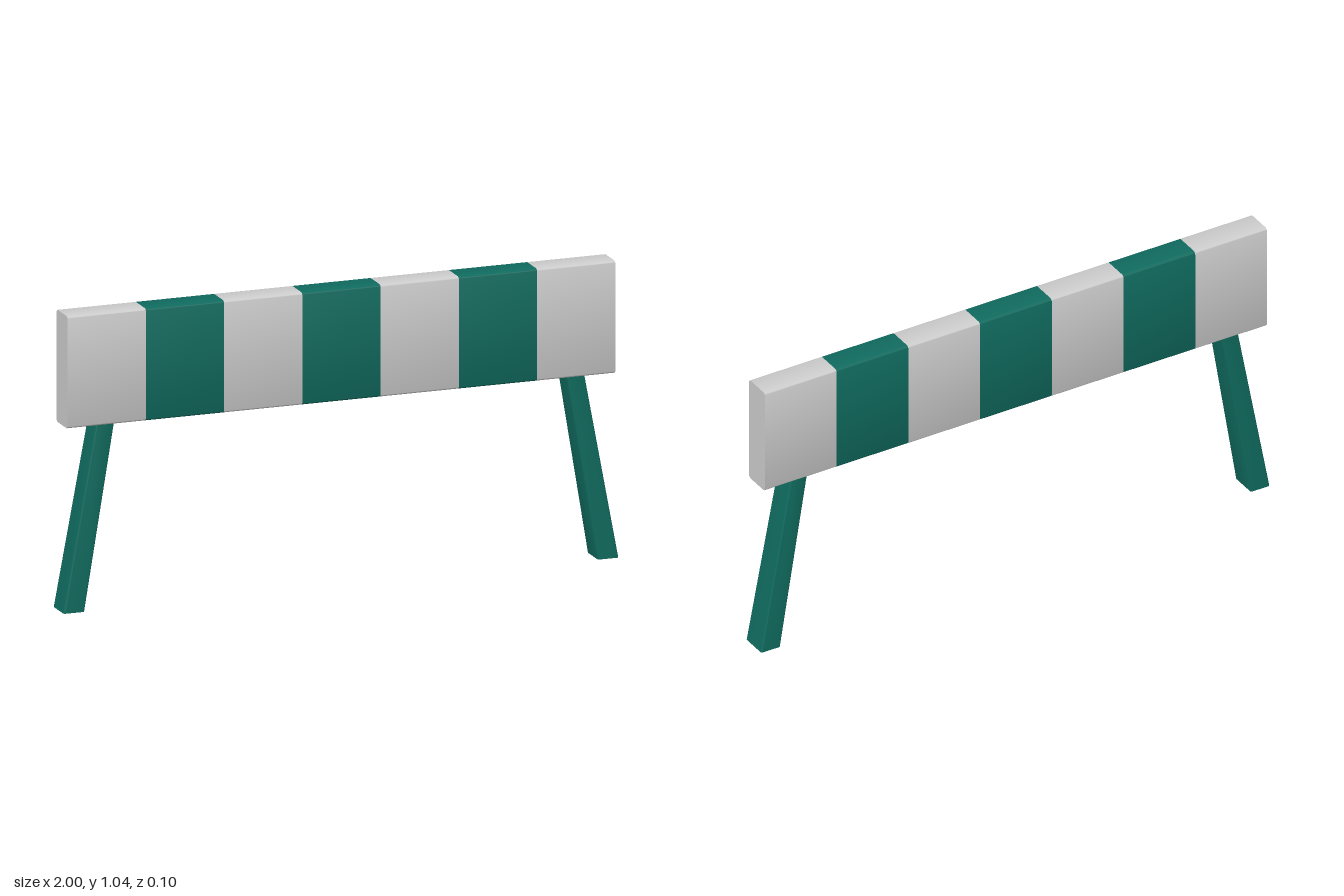
import * as THREE from 'three';
import { toCreasedNormals } from 'three/addons/utils/BufferGeometryUtils.js';

const grey = new THREE.MeshStandardMaterial({ color: 0xcccccc });
const green = new THREE.MeshStandardMaterial({ color: 0x0f6a5e });

// Rounded rectangle bar extruded along +z from 0 to length
function roundedBar(w, h, r, length) {
  const x = w / 2, y = h / 2;
  const s = new THREE.Shape();
  s.absarc(x - r, y - r, r, 0, Math.PI / 2);
  s.absarc(-x + r, y - r, r, Math.PI / 2, Math.PI);
  s.absarc(-x + r, -y + r, r, Math.PI, Math.PI * 1.5);
  s.absarc(x - r, -y + r, r, Math.PI * 1.5, Math.PI * 2);
  return new THREE.ExtrudeGeometry(s, { depth: length, bevelEnabled: false, curveSegments: 4 });
}

// Leg: splays outward and widens towards the ground
function legGeometry(side) {
  const height = 0.66;
  const geo = roundedBar(1, 1, 0.07, height);
  geo.rotateX(-Math.PI / 2);
  const p = geo.attributes.position;
  for (let i = 0; i < p.count; i++) {
    const t = p.getY(i) / 0.645;
    const centre = THREE.MathUtils.lerp(0.9625, 0.848, t);
    const width = THREE.MathUtils.lerp(0.075, 0.064, t);
    const depth = THREE.MathUtils.lerp(0.1, 0.088, t);
    p.setX(i, side * centre + p.getX(i) * width);
    p.setZ(i, p.getZ(i) * depth);
  }
  return toCreasedNormals(geo, 0.6);
}

export function createModel() {
  const model = new THREE.Group();
  model.name = 'barrier';

  // Board made of seven alternating stripes
  const board = new THREE.Group();
  board.name = 'board';
  const count = 7, stripeWidth = 1.974 / count;
  for (let i = 0; i < count; i++) {
    const geo = roundedBar(0.104, 0.392, 0.011, stripeWidth);
    geo.rotateY(Math.PI / 2);
    const stripe = new THREE.Mesh(toCreasedNormals(geo, 0.6), i % 2 ? green : grey);
    stripe.name = i % 2 ? 'greenStripe' : 'greyStripe';
    stripe.position.set((i - count / 2) * stripeWidth, 0.841, 0);
    board.add(stripe);
  }
  model.add(board);

  // Legs with plain grey end caps
  for (const side of [-1, 1]) {
    const leg = new THREE.Mesh(legGeometry(side), [grey, green]);
    leg.name = side > 0 ? 'leftLeg' : 'rightLeg';
    model.add(leg);
  }
  return model;
}
